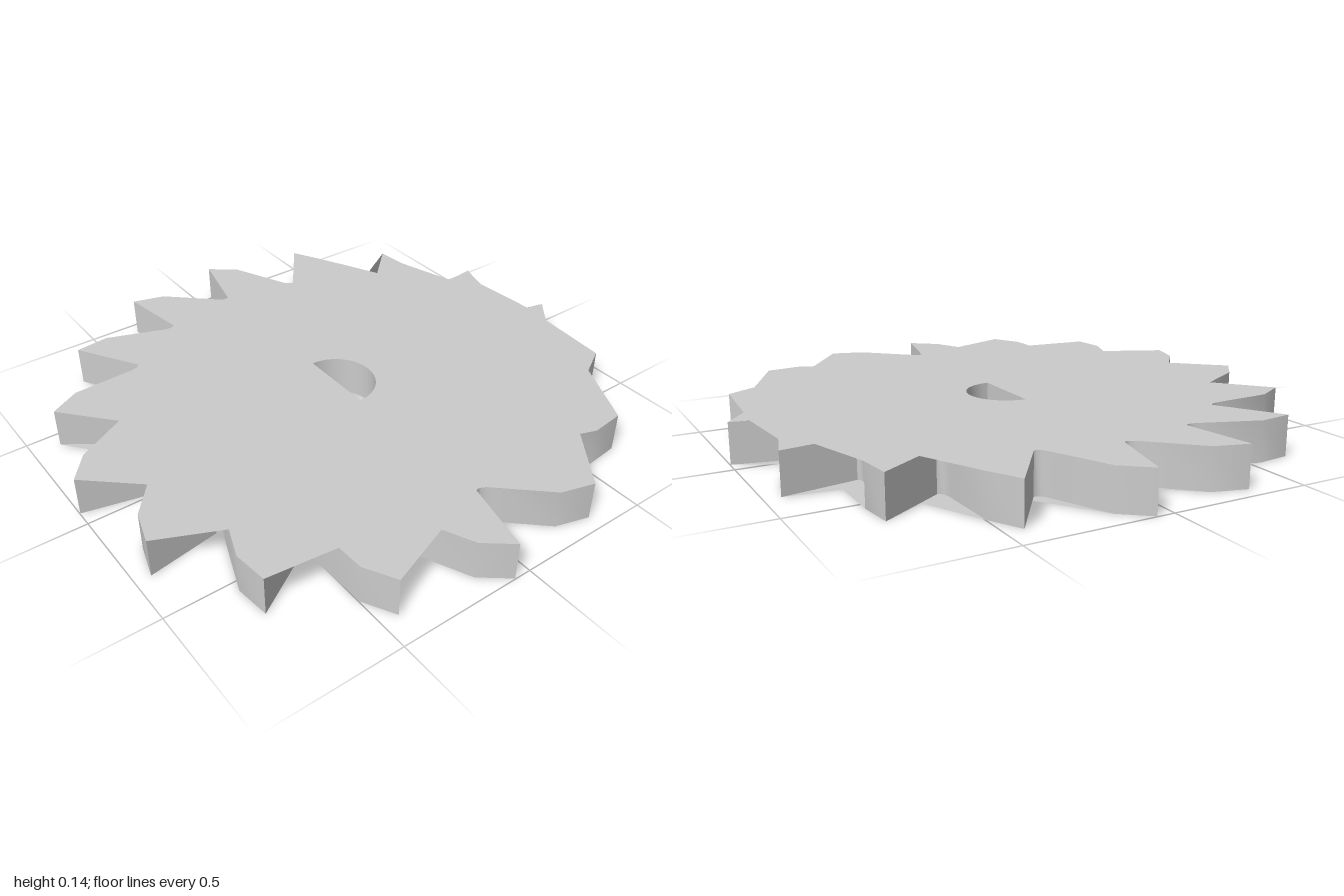
import * as THREE from 'three';
import { toCreasedNormals } from 'three/addons/utils/BufferGeometryUtils.js';

const TEETH = 16, THICK = 0.145;

// One tooth pitch in (x, z): rounded gullet, cutting tip, heel behind the tip
const GULLET = [[0.768, -0.055], [0.752, -0.038], [0.743, -0.022], [0.741, -0.008], [0.745, 0]];
const TIP = [0.998, 0.06], HEEL = [0.92, 0.157];

// Gullets partly covered by the face plates: tooth index -> corner left open
// (an empty list means the plate runs straight across)
const TOP_COVER = {
  1: [[0.81, 0.2]], 2: [[0.69, 0.5]], 3: [[0.43, 0.72]], 4: [[0.1, 0.82]],
  5: [[-0.255, 0.74]], 10: [[-0.54, -0.62]], 11: [[-0.31, -0.83]],
  12: [[0.045, -0.93]], 13: [], 14: [], 15: [[0.74, -0.48]],
};
const BOTTOM_COVER = {
  5: [[-0.27, 0.765]], 6: [[-0.56, 0.58]], 7: [[-0.76, 0.3]], 8: [[-0.75, 0], [-0.75, -0.03], [-0.77, -0.05]],
  9: [[-0.68, -0.33], [-0.69, -0.35]], 10: [[-0.58, -0.6]], 11: [[-0.35, -0.76]],
  12: [[-0.03, -0.82]], 13: [], 14: [], 15: [],
};

function turn([x, z], k) {
  const a = (k * Math.PI * 2) / TEETH, c = Math.cos(a), s = Math.sin(a);
  return new THREE.Vector2(x * c - z * s, x * s + z * c);
}

// Closed toothed outline, with optional covered gullets
function outline(cover = {}) {
  const pts = [];
  for (let k = 0; k < TEETH; k++) {
    if (cover[k]) pts.push(...cover[k].map(([x, z]) => new THREE.Vector2(x, z)));
    else pts.push(...GULLET.map((p) => turn(p, k)));
    pts.push(turn(TIP, k), turn(HEEL, k));
  }
  return pts;
}

// D-shaped shaft hole, flat side on z = 0
function boreOutline() {
  const pts = [];
  for (let i = 0; i <= 24; i++) {
    const a = Math.PI + (i / 24) * Math.PI;
    pts.push(new THREE.Vector2(0.145 * Math.cos(a), 0.145 * Math.sin(a)));
  }
  return pts;
}

// Vertical wall along a closed outline
function wall(pts) {
  const pos = [];
  pts.forEach((a, i) => {
    const b = pts[(i + 1) % pts.length];
    pos.push(a.x, 0, a.y, a.x, THICK, a.y, b.x, THICK, b.y);
    pos.push(a.x, 0, a.y, b.x, THICK, b.y, b.x, 0, b.y);
  });
  const g = new THREE.BufferGeometry();
  g.setAttribute('position', new THREE.Float32BufferAttribute(pos, 3));
  return toCreasedNormals(g, 0.7);
}

// Flat face plate with the shaft hole, facing up or down
function plate(pts, up) {
  const flip = (list) => list.map((p) => new THREE.Vector2(p.x, up ? -p.y : p.y));
  const shape = new THREE.Shape(flip(pts));
  shape.holes.push(new THREE.Path(flip(boreOutline())));
  const g = new THREE.ShapeGeometry(shape);
  g.rotateX(up ? -Math.PI / 2 : Math.PI / 2);
  return g.translate(0, up ? THICK : 0, 0);
}

export function createModel() {
  const group = new THREE.Group();
  group.name = 'sawBlade';
  const material = new THREE.MeshStandardMaterial({ color: 0xcccccc, side: THREE.DoubleSide });
  const add = (name, geometry) => {
    const mesh = new THREE.Mesh(geometry, material);
    mesh.name = name;
    group.add(mesh);
  };
  add('toothedRim', wall(outline()));
  add('shaftHole', wall(boreOutline().reverse()));
  add('topFace', plate(outline(TOP_COVER), true));
  add('bottomFace', plate(outline(BOTTOM_COVER), false));
  return group;
}
